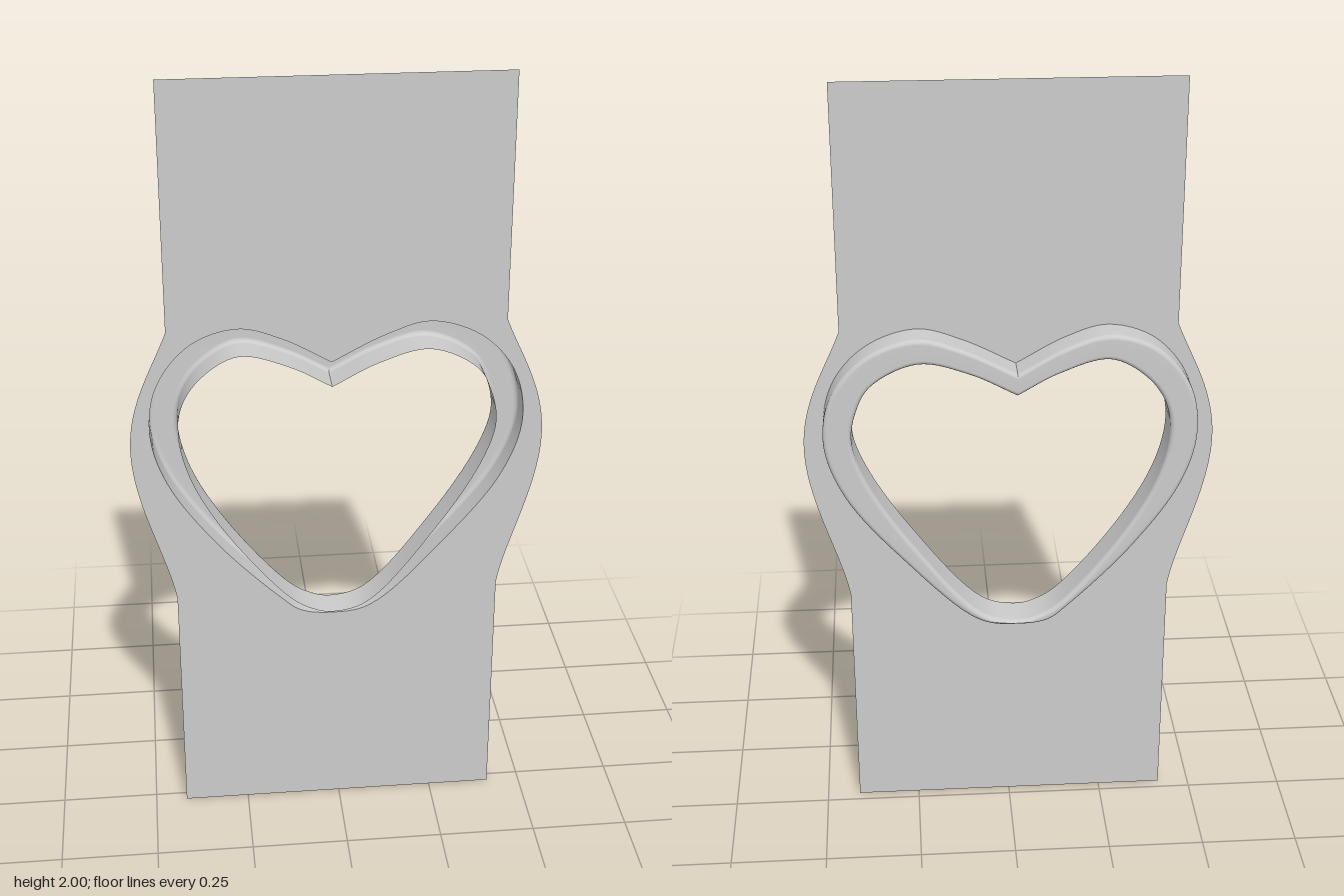
import * as THREE from 'three';

const SHEET_Z = 0.027, FRONT_Z = 0.045, BACK_Z = -0.047, ROUND = 0.012;
const STEPS = 152;

// Heart outlines, running from the notch round the model's right lobe and back
const OUTER = [[-0.018, 1.29], [-0.14, 1.357], [-0.245, 1.387], [-0.36, 1.35], [-0.445, 1.246],
  [-0.467, 1.115], [-0.43, 0.977], [-0.31, 0.797], [-0.15, 0.628], [-0.1, 0.588], [-0.018, 0.575],
  [0.08, 0.592], [0.27, 0.776], [0.415, 0.966], [0.462, 1.115], [0.435, 1.25], [0.35, 1.346],
  [0.225, 1.388], [0.115, 1.357], [-0.018, 1.29]];
const INNER = [[-0.018, 1.232], [-0.12, 1.288], [-0.245, 1.322], [-0.335, 1.272], [-0.385, 1.2],
  [-0.398, 1.115], [-0.37, 0.99], [-0.28, 0.825], [-0.125, 0.635], [-0.07, 0.6], [-0.018, 0.588],
  [0.07, 0.612], [0.245, 0.82], [0.36, 1.01], [0.392, 1.115], [0.378, 1.2], [0.34, 1.267],
  [0.225, 1.322], [0.1, 1.292], [-0.018, 1.232]];

function outline(points) {
  const curve = new THREE.CatmullRomCurve3(points.map(([x, y]) => new THREE.Vector3(x, y, 0)));
  return curve.getPoints(STEPS);
}

// Channel section as [distance inward from a wall, z, which wall]
function channelSection() {
  const rows = [[0, SHEET_Z, 'outer']];
  const arc = (i) => (i / 4) * Math.PI / 2;
  for (let i = 0; i <= 4; i++) {
    rows.push([ROUND * (1 - Math.cos(arc(i))), BACK_Z + ROUND * (1 - Math.sin(arc(i))), 'outer']);
  }
  for (let i = 4; i >= 0; i--) {
    rows.push([ROUND * (1 - Math.cos(arc(i))), BACK_Z + ROUND * (1 - Math.sin(arc(i))), 'inner']);
  }
  rows.push([0, FRONT_Z, 'inner']);
  return rows;
}

// Lofts the section around the heart; the seam at the notch stays sharp
function channelGeometry(outer, inner) {
  const positions = [], index = [], rows = channelSection(), n = rows.length;
  for (let i = 0; i <= STEPS; i++) {
    const width = outer[i].distanceTo(inner[i]);
    for (const [inset, z, wall] of rows) {
      const f = Math.min(inset / width, 0.45);
      const p = outer[i].clone().lerp(inner[i], wall === 'outer' ? f : 1 - f);
      positions.push(p.x, p.y, z);
    }
  }
  for (let i = 0; i < STEPS; i++) {
    for (let j = 0; j < n - 1; j++) {
      const a = i * n + j, b = a + n;
      index.push(a, a + 1, b, b, a + 1, b + 1);
    }
  }
  const geometry = new THREE.BufferGeometry();
  geometry.setAttribute('position', new THREE.Float32BufferAttribute(positions, 3));
  geometry.setIndex(index);
  geometry.computeVertexNormals();
  return geometry;
}

// Flat strap, widened by a smooth bulge beside the heart
function strapGeometry(outer) {
  const shape = new THREE.Shape();
  shape.moveTo(-0.418, 0);
  shape.lineTo(0.413, 0);
  shape.lineTo(0.413, 0.64);
  shape.bezierCurveTo(0.43, 0.76, 0.513, 0.92, 0.513, 1.07);
  shape.bezierCurveTo(0.513, 1.2, 0.45, 1.29, 0.413, 1.385);
  shape.lineTo(0.413, 2);
  shape.lineTo(-0.418, 2);
  shape.lineTo(-0.418, 1.385);
  shape.bezierCurveTo(-0.455, 1.29, -0.517, 1.2, -0.517, 1.07);
  shape.bezierCurveTo(-0.517, 0.92, -0.435, 0.76, -0.418, 0.64);
  shape.closePath();
  shape.holes.push(new THREE.Path(outer.slice(0, -1).map((p) => new THREE.Vector2(p.x, p.y))));
  return new THREE.ShapeGeometry(shape, 24);
}

export function createModel() {
  const group = new THREE.Group();
  const material = new THREE.MeshStandardMaterial({ color: 0xcccccc, side: THREE.DoubleSide });
  const outer = outline(OUTER), inner = outline(INNER);

  const strap = new THREE.Mesh(strapGeometry(outer), material);
  strap.name = 'strap';
  strap.position.z = SHEET_Z;

  const channel = new THREE.Mesh(channelGeometry(outer, inner), material);
  channel.name = 'heartChannel';

  group.add(strap, channel);
  return group;
}
